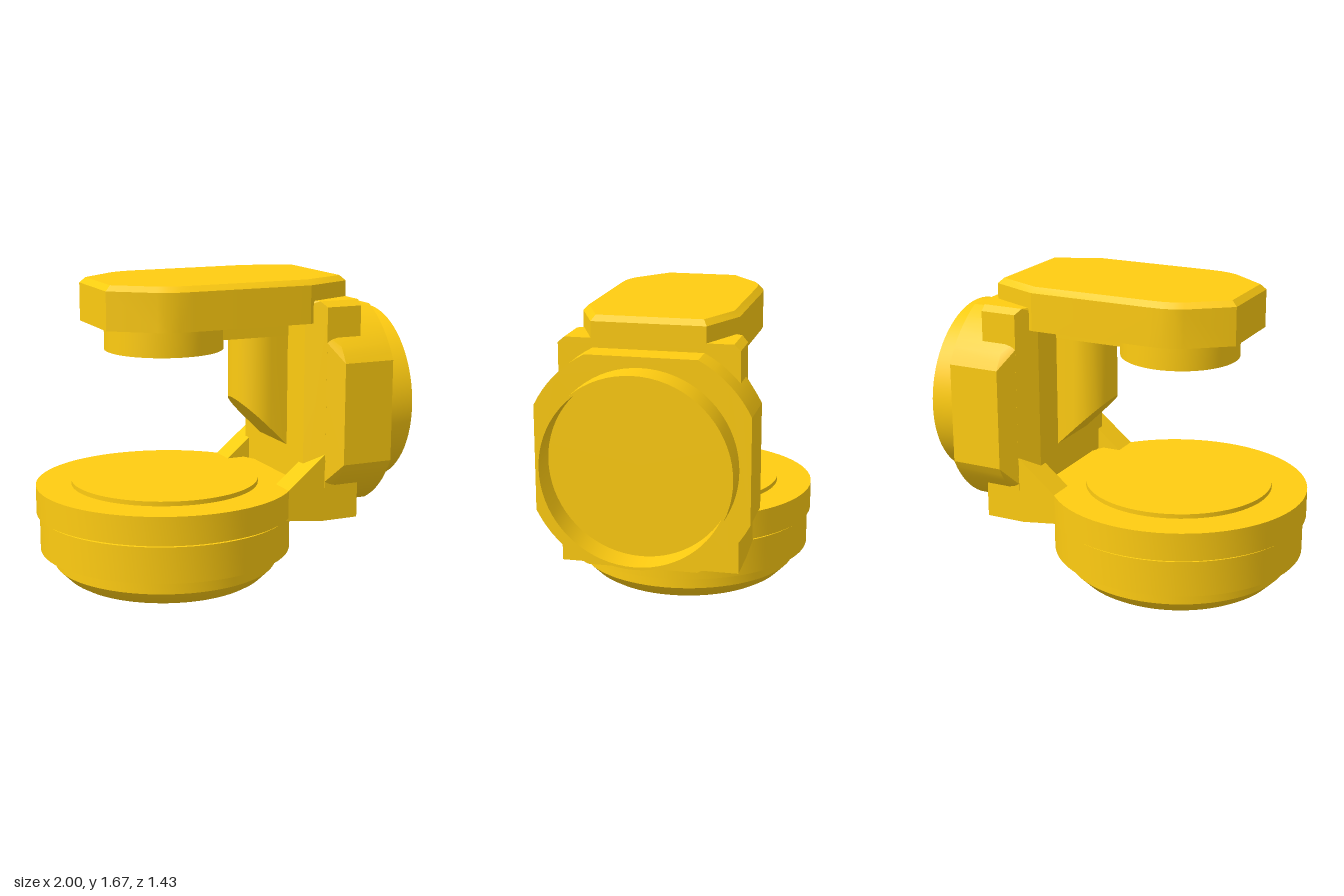
import * as THREE from 'three';
import { toCreasedNormals } from 'three/addons/utils/BufferGeometryUtils.js';
import { ConvexGeometry } from 'three/addons/geometries/ConvexGeometry.js';

const CX = -0.283; // axis of the base and the pressing disc
const HUB_Y = 0.953; // height of the side hub axis

export function createModel() {
  const group = new THREE.Group();
  const material = new THREE.MeshStandardMaterial({ color: 0xffcc11 });

  const add = (name, geometry, crease = 0.4) => {
    const mesh = new THREE.Mesh(toCreasedNormals(geometry, crease), material);
    mesh.name = name;
    group.add(mesh);
    return mesh;
  };
  const v = (x, y, z) => new THREE.Vector3(x, y, z);
  const lathe = (points) =>
    new THREE.LatheGeometry(points.map(([r, y]) => new THREE.Vector2(r, y)), 72);
  const hull = (name, points, crease) => add(name, new ConvexGeometry(points), crease);
  // prism with a convex side outline [x, y], between two depths
  const slab = (name, outline, z0, z1) =>
    hull(name, outline.flatMap(([x, y]) => [v(x, y, z0), v(x, y, z1)]));
  // plan outline [x, z] mirrored in z, at height y
  const level = (plan, y) => plan.flatMap(([x, z]) => [v(x, y, z), v(x, y, -z)]);

  // round base with rounded foot, seam and raised top plate
  add('base', lathe([
    [0, 0], [0.48, 0], [0.52, 0.006], [0.555, 0.027], [0.618, 0.09], [0.618, 0.175],
    [0.697, 0.175], [0.697, 0.372], [0.685, 0.374], [0.685, 0.382], [0.715, 0.385],
    [0.715, 0.54], [0.519, 0.54], [0.519, 0.565], [0, 0.565],
  ])).position.x = CX;

  // bracket joining base and upright
  slab('bracket', [[0.1, 0.39], [0.25, 0.39], [0.45, 0.345], [0.675, 0.345],
    [0.675, 0.53], [0.1, 0.53]], -0.475, 0.475);
  for (const s of [1, -1]) {
    slab('bracketEar', [[0.2, 0.42], [0.22, 0.515], [0.47, 0.72], [0.47, 0.42]], s * 0.32, s * 0.475);
  }

  // upright body with angled inner corners and chamfered top
  hull('upright', [
    ...level([[0.39, 0.37], [0.472, 0.475], [0.675, 0.475]], 0.4),
    ...level([[0.39, 0.37], [0.472, 0.475], [0.675, 0.475]], 1.53),
    ...level([[0.39, 0.34], [0.445, 0.44], [0.675, 0.44]], 1.56),
  ]);

  // hub housing: a disc trimmed to a square, narrowing inward
  const housing = [];
  for (const [x, w] of [[0.395, 0.376], [0.54, 0.562], [0.833, 0.562]]) {
    const a0 = Math.acos(w / 0.628), a1 = Math.asin(0.557 / 0.628);
    for (let i = 0; i <= 8; i++) {
      const a = a0 + ((a1 - a0) * i) / 8;
      const z = 0.628 * Math.cos(a), y = 0.628 * Math.sin(a);
      for (const sy of [1, -1]) housing.push(v(x, HUB_Y + sy * y, z), v(x, HUB_Y + sy * y, -z));
    }
  }
  hull('hubHousing', housing, 0.2);

  // open cup on the outer side
  const cup = add('hubCup', lathe([
    [0.502, 0], [0.502, 0.18], [0.488, 0.18], [0.488, 0.02], [0, 0.02],
  ]));
  cup.rotation.z = -Math.PI / 2;
  cup.position.set(0.82, HUB_Y, 0);

  // rounded column with a slanted foot
  const column = [];
  const columnPlan = [[0.41, 0.17]];
  for (let i = 0; i <= 12; i++) {
    const a = (Math.PI / 2) * (i / 12);
    columnPlan.push([0.29 - 0.17 * Math.sin(a), 0.17 * Math.cos(a)]);
  }
  for (const [x, z] of columnPlan) {
    const foot = 0.985 - (x - 0.12) * 0.98;
    for (const s of [1, -1]) column.push(v(x, 1.36, s * z), v(x, foot, s * z));
  }
  hull('column', column);

  // rail and pressing disc below the top arm
  slab('rail', [[-0.1, 1.34], [0.41, 1.34], [0.41, 1.46], [-0.1, 1.46]], -0.175, 0.175);
  add('pressingDisc', new THREE.CylinderGeometry(0.326, 0.326, 0.17, 64)).position.set(CX, 1.375, 0);

  // top arm with chamfered upper edge
  hull('topArm', [
    ...level([[-0.69, 0.21], [-0.47, 0.378], [-0.42, 0.4], [-0.36, 0.414], [-0.28, 0.418],
      [0.4, 0.418], [0.675, 0.3]], 1.438),
    ...level([[-0.69, 0.21], [-0.47, 0.378], [-0.42, 0.4], [-0.36, 0.414], [-0.28, 0.418],
      [0.4, 0.418], [0.675, 0.3]], 1.646),
    ...level([[-0.66, 0.195], [-0.455, 0.352], [-0.41, 0.371], [-0.355, 0.384], [-0.28, 0.388],
      [0.392, 0.388], [0.645, 0.28]], 1.675),
  ], 0.3);

  return group;
}
